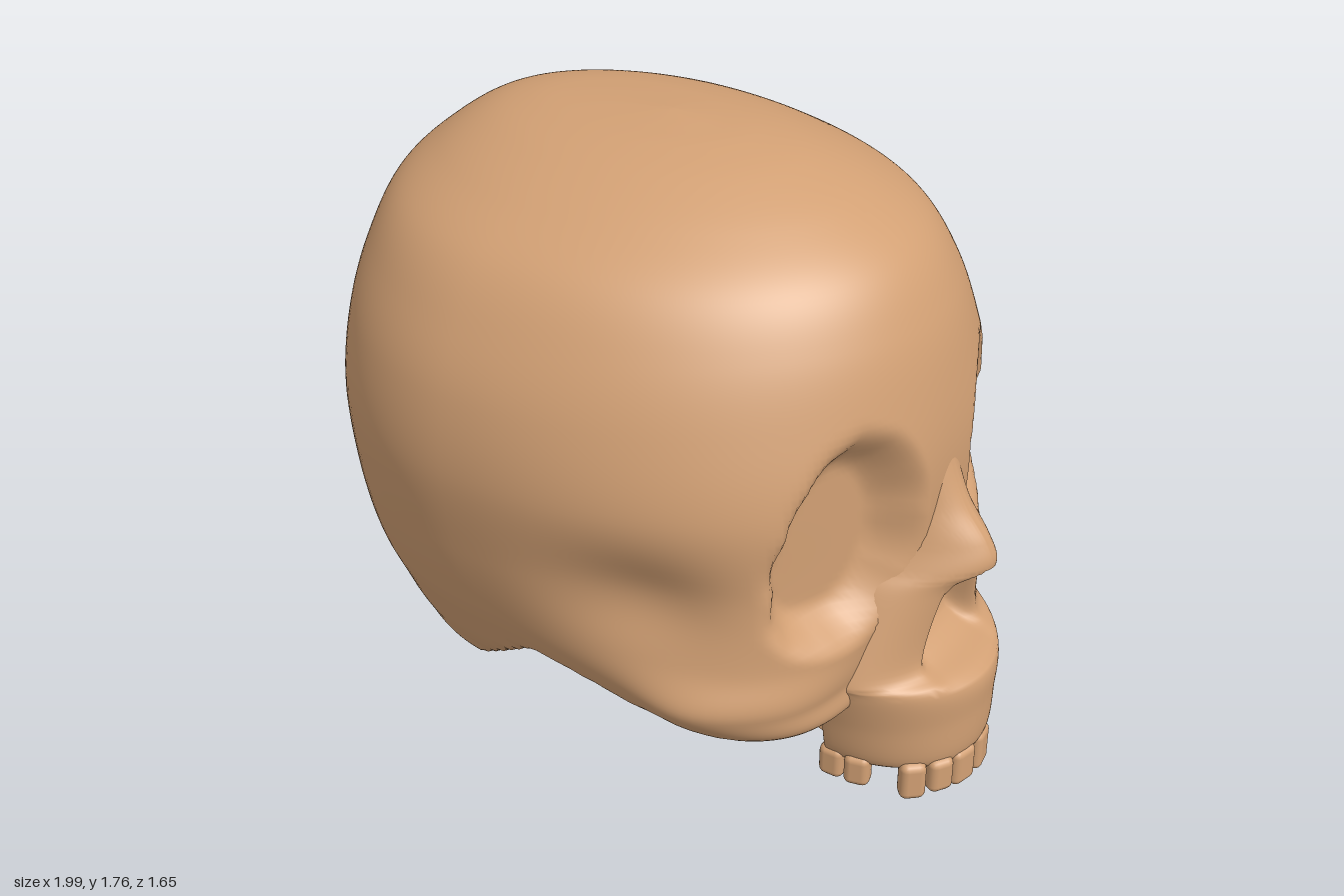
import * as THREE from 'three';
import { toCreasedNormals } from 'three/addons/utils/BufferGeometryUtils.js';
import { RoundedBoxGeometry } from 'three/addons/geometries/RoundedBoxGeometry.js';

const { clamp, smoothstep, lerp } = THREE.MathUtils;

// Linear interpolation through [key, value] pairs sorted by key
function along(keys, k) {
  if (k <= keys[0][0]) return keys[0][1];
  for (let i = 1; i < keys.length; i++) {
    const a = keys[i - 1], b = keys[i];
    if (k <= b[0]) return lerp(a[1], b[1], (k - a[0]) / (b[0] - a[0]));
  }
  return keys[keys.length - 1][1];
}

// Smooth interpolation between whole rows by row index
function rowAt(rows, t) {
  const i = Math.min(Math.floor(t), rows.length - 2), f = t - i;
  const r = (k) => rows[clamp(k, 0, rows.length - 1)];
  return rows[0].map((_, c) => {
    const p = r(i)[c], q = r(i + 1)[c];
    const m = (q - r(i - 1)[c]) / 2, n = (r(i + 2)[c] - p) / 2;
    return p + f * (m + f * (3 * (q - p) - 2 * m - n + f * (2 * (p - q) + m + n)));
  });
}

// Loft of horizontal sections, each [y, back x, front x, centre x, half width, front squareness];
// shape() moves every vertex by a rule
function loft(rows, perRow, cols, crease, shape) {
  const pos = [], index = [], count = (rows.length - 1) * perRow;
  const v = new THREE.Vector3();
  for (let i = 0; i <= count; i++) {
    const [y, xb, xf, xc, w, n] = rowAt(rows, i / perRow);
    for (let j = 0; j < cols; j++) {
      const u = (j / cols) * Math.PI * 2, a = u - 0.5 * Math.sin(u);
      const c = Math.cos(a), s = Math.sin(a), e = c > 0 ? n : 2;
      const r = Math.pow(Math.abs(c) ** e + Math.abs(s) ** e, -1 / e);
      v.set(xc + r * c * (c > 0 ? xf - xc : xc - xb), y, r * s * Math.max(w, 0));
      shape(v);
      pos.push(v.x, v.y, v.z);
      if (i < count) {
        const k = (j + 1) % cols, p = i * cols, q = p + cols;
        index.push(p + j, p + k, q + j, q + j, p + k, q + k);
      }
    }
  }
  const g = new THREE.BufferGeometry();
  g.setAttribute('position', new THREE.Float32BufferAttribute(pos, 3));
  g.setIndex(index);
  return toCreasedNormals(g, crease);
}

// Cranium sections from crown to base
const craniumRows = [
  [1.76, -0.08, -0.06, -0.07, 0, 2],
  [1.75, -0.34, 0.07, -0.11, 0.11, 2],
  [1.735, -0.5, 0.2, -0.14, 0.21, 2],
  [1.7, -0.62, 0.35, -0.16, 0.33, 2],
  [1.63, -0.73, 0.52, -0.18, 0.48, 2],
  [1.53, -0.835, 0.665, -0.2, 0.63, 2],
  [1.39, -0.9, 0.75, -0.2, 0.73, 2],
  [1.22, -0.95, 0.8, -0.2, 0.8, 2.05],
  [1.0, -0.99, 0.83, -0.2, 0.825, 2.25],
  [0.75, -1, 0.82, -0.2, 0.79, 2.5],
  [0.55, -0.985, 0.77, -0.2, 0.74, 3.3],
  [0.42, -0.94, 0.74, -0.2, 0.69, 4.6],
  [0.3, -0.89, 0.7, -0.22, 0.63, 4.4],
  [0.2, -0.78, 0.3, -0.32, 0.54, 2.5],
  [0.08, -0.57, -0.45, -0.52, 0.26, 2],
  [0.06, -0.54, -0.54, -0.54, 0, 2],
];

// Lower limit along x: skull base, cheek arch and cheekbone
const baseLine = [[-0.54, 0.07], [-0.04, 0.44], [0.26, 0.38], [0.37, 0.39], [0.6, 0.3], [0.75, 0.29]];

// Eye socket outline around its middle: angle in degrees, radius
const socketMiddle = [0.34, 0.84];
const socket = [
  [-180, 0.235], [-145, 0.244], [-120, 0.278], [-98, 0.298], [-78, 0.3], [-54, 0.32], [-38, 0.306],
  [-21, 0.252], [29, 0.23], [63, 0.29], [80, 0.345], [96, 0.38], [113, 0.358], [135, 0.297], [165, 0.238], [180, 0.235],
];

function shapeCranium(v) {
  const side = Math.abs(v.z);
  // Eye sockets
  if (v.x > 0.4) {
    const dz = side - socketMiddle[0], dy = v.y - socketMiddle[1];
    const radius = along(socket, THREE.MathUtils.radToDeg(Math.atan2(dy, dz)));
    const floor = 0.71 - 0.34 * (side - 0.12);
    const depth = smoothstep(1 - Math.hypot(dz, dy) / radius, 0, 0.42);
    v.x = lerp(v.x, Math.min(v.x, floor), depth);
  }
  // Hollow temples and flared cheekbones
  const bump = (x, y, rx, ry) => Math.exp(-(((v.x - x) / rx) ** 2) - ((v.y - y) / ry) ** 2);
  v.z *= 1 - 0.1 * bump(0.34, 0.72, 0.22, 0.16) + 0.06 * bump(0.46, 0.42, 0.17, 0.08);
  // Sloping underside
  if (v.x > -0.54) v.y = Math.max(v.y, along(baseLine, v.x));
}

// Nose bridge and upper jaw sections, ending in a hollow palate
const jawRows = [
  [1.14, 0.6, 0.79, 0.65, 0.07, 2],
  [0.98, 0.6, 0.835, 0.65, 0.12, 2],
  [0.87, 0.6, 0.885, 0.65, 0.135, 1.8],
  [0.78, 0.6, 0.955, 0.65, 0.16, 1.6],
  [0.71, 0.6, 0.975, 0.65, 0.19, 1.7],
  [0.64, 0.6, 0.915, 0.65, 0.24, 2],
  [0.43, 0.6, 0.89, 0.65, 0.34, 2],
  [0.37, 0.6, 0.98, 0.65, 0.33, 1.9],
  [0.25, 0.6, 0.985, 0.65, 0.3, 1.95],
  [0.11, 0.6, 0.97, 0.65, 0.265, 2.1],
  [0.11, 0.62, 0.9, 0.65, 0.2, 2],
  [0.22, 0.62, 0.86, 0.65, 0.15, 2],
  [0.24, 0.65, 0.65, 0.65, 0, 2],
];

function shapeJaw(v) {
  // Nose opening
  if (v.x > 0.78 && v.y > 0.37 && v.y < 0.705) {
    const half = along([[0.37, 0.175], [0.63, 0.115], [0.68, 0.085], [0.71, 0.02]], v.y);
    const depth = smoothstep(half - Math.abs(v.z), 0, 0.06) * smoothstep(v.y, 0.36, 0.48);
    v.x = lerp(v.x, 0.79, depth);
  }
}

export function createModel() {
  const skull = new THREE.Group();
  skull.name = 'skull';
  const bone = new THREE.MeshStandardMaterial({ color: 0xd2a074 });
  bone.name = 'bone';
  const add = (geometry, name) => {
    const mesh = new THREE.Mesh(geometry, bone);
    mesh.name = name;
    skull.add(mesh);
    return mesh;
  };

  add(loft(craniumRows, 10, 192, 1.1, shapeCranium), 'cranium');
  add(loft(jawRows, 8, 112, 0.9, shapeJaw), 'upperJaw');

  // Wedge at the back of the palate
  const wedge = new THREE.Shape([[0.67, 0.29], [0.41, 0.25], [0.41, 0.2], [0.64, 0.13]]
    .map(([x, y]) => new THREE.Vector2(x, y)));
  const palate = new THREE.ExtrudeGeometry(wedge, { depth: 0.46, bevelEnabled: false });
  add(palate, 'palateWedge').position.z = -0.23;

  // Teeth around the arch, some missing: x, z, width, height
  const teeth = [
    [0.66, 0.25, 0.075, 0.1], [0.735, 0.245, 0.075, 0.1], [0.875, 0.19, 0.075, 0.12],
    [0.925, 0.13, 0.075, 0.11], [0.95, 0.055, 0.085, 0.12], [0.95, -0.042, 0.085, 0.13],
    [0.87, -0.195, 0.07, 0.1], [0.81, -0.23, 0.07, 0.1], [0.74, -0.25, 0.07, 0.1],
  ];
  for (const [x, z, width, height] of teeth) {
    const tooth = add(new RoundedBoxGeometry(0.06, height, width, 2, 0.022), 'tooth');
    tooth.position.set(x, 0.13 - height / 2, z);
    tooth.rotation.y = -Math.atan2(z * 1.3, x - 0.65);
  }
  return skull;
}
